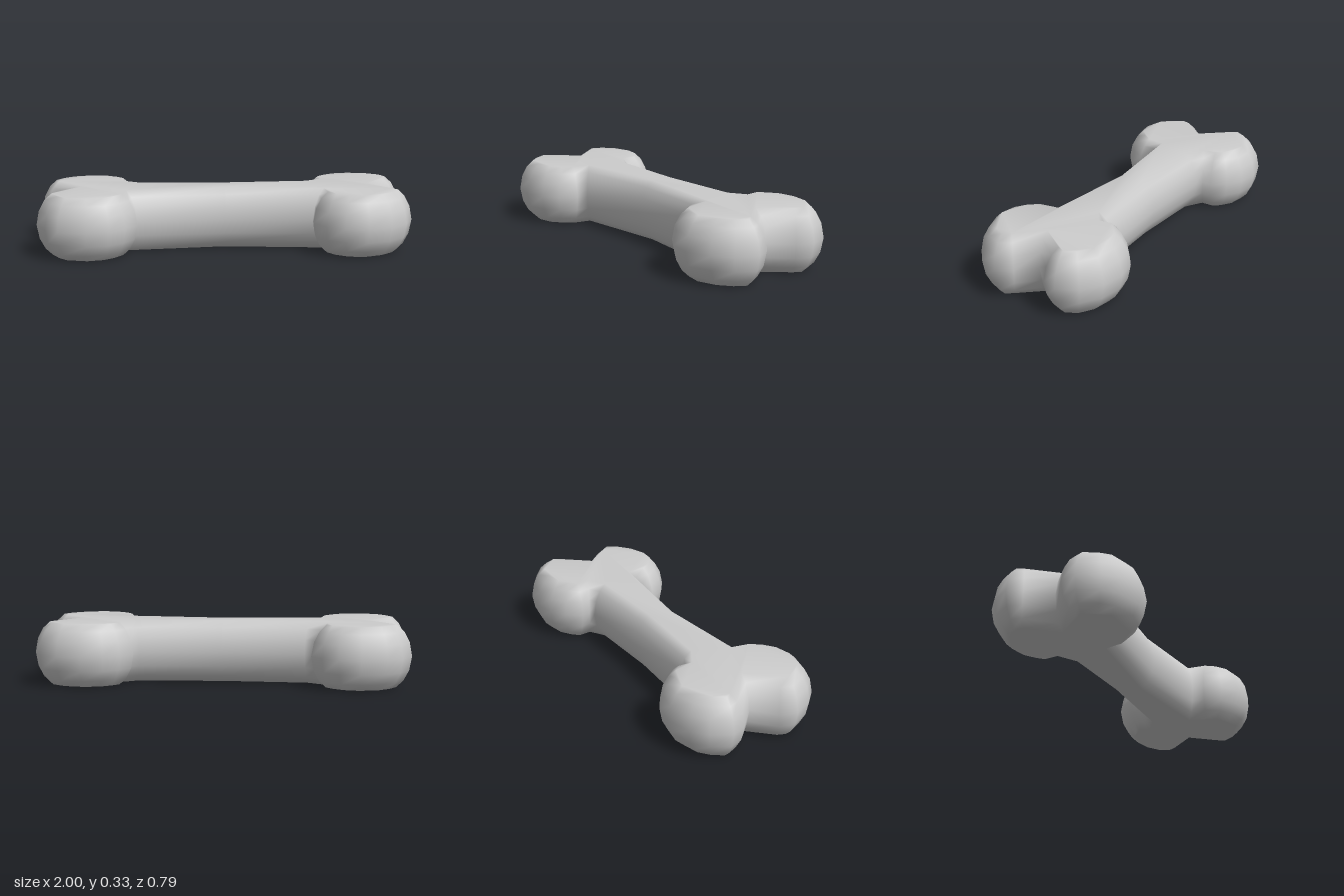
import * as THREE from 'three';

// Plan outline of the bone as (x, z), starting at one end notch
const OUTLINE = [
  // back knob, right end
  [-0.855, -0.01], [-0.97, -0.12], [-1, -0.2], [-0.945, -0.3], [-0.865, -0.365], [-0.73, -0.4],
  [-0.615, -0.38], [-0.53, -0.325], [-0.475, -0.25], [-0.487, -0.195], [-0.44, -0.176],
  // back of the shaft
  [0, -0.157], [0.44, -0.176],
  // back knob, left end
  [0.475, -0.19], [0.46, -0.24], [0.52, -0.32], [0.6, -0.375], [0.715, -0.397], [0.845, -0.375],
  [0.95, -0.305], [0.995, -0.195], [0.96, -0.11], [0.855, -0.01],
  // front knob, left end
  [0.95, 0.075], [0.995, 0.16], [0.945, 0.27], [0.855, 0.345], [0.725, 0.39], [0.605, 0.37],
  [0.515, 0.31], [0.458, 0.22], [0.465, 0.152],
  // front of the shaft
  [0, 0.125], [-0.47, 0.154],
  // front knob, right end
  [-0.47, 0.22], [-0.53, 0.305], [-0.61, 0.365], [-0.73, 0.392], [-0.875, 0.355],
  [-0.945, 0.285], [-0.998, 0.175], [-0.97, 0.085],
];

// Rounded side: height and inset from the outline
const PROFILE = [
  [0, 0.08], [0.035, 0.043], [0.09, 0.014], [0.165, 0], [0.24, 0.014], [0.295, 0.043], [0.33, 0.08],
];

function boneGeometry() {
  const n = OUTLINE.length;
  const pts = OUTLINE.map(([x, z]) => new THREE.Vector2(x, z));
  const normals = pts.map((p, i) => {
    const a = p.clone().sub(pts[(i + n - 1) % n]).normalize();
    const b = pts[(i + 1) % n].clone().sub(p).normalize();
    const t = a.add(b).normalize();
    return new THREE.Vector2(t.y, -t.x);
  });

  // Stacked rings joined by side faces
  const positions = [];
  const index = [];
  PROFILE.forEach(([y, inset], r) => {
    pts.forEach((p, i) => {
      positions.push(p.x - normals[i].x * inset, y, p.y - normals[i].y * inset);
      if (r === 0) return;
      const j = (i + 1) % n;
      const a = (r - 1) * n + i, b = (r - 1) * n + j, c = r * n + j, d = r * n + i;
      index.push(a, d, b, b, d, c);
    });
  });

  // Flat top and bottom caps sharing the ring vertices
  const rim = pts.map((p, i) => new THREE.Vector2(
    p.x - normals[i].x * PROFILE[0][1], -(p.y - normals[i].y * PROFILE[0][1])));
  const top = (PROFILE.length - 1) * n;
  for (const face of THREE.ShapeUtils.triangulateShape(rim.slice(), [])) {
    const [a, b, c] = THREE.ShapeUtils.area(face.map((k) => rim[k])) > 0 ? face : [...face].reverse();
    index.push(top + a, top + b, top + c, a, c, b);
  }

  const geometry = new THREE.BufferGeometry();
  geometry.setAttribute('position', new THREE.Float32BufferAttribute(positions, 3));
  geometry.setIndex(index);
  geometry.computeVertexNormals();
  return geometry;
}

export function createModel() {
  const group = new THREE.Group();
  group.name = 'bone';
  const grey = new THREE.MeshStandardMaterial({ color: 0xcccccc });
  grey.name = 'boneGrey';
  const body = new THREE.Mesh(boneGeometry(), grey);
  body.name = 'boneBody';
  group.add(body);
  return group;
}
